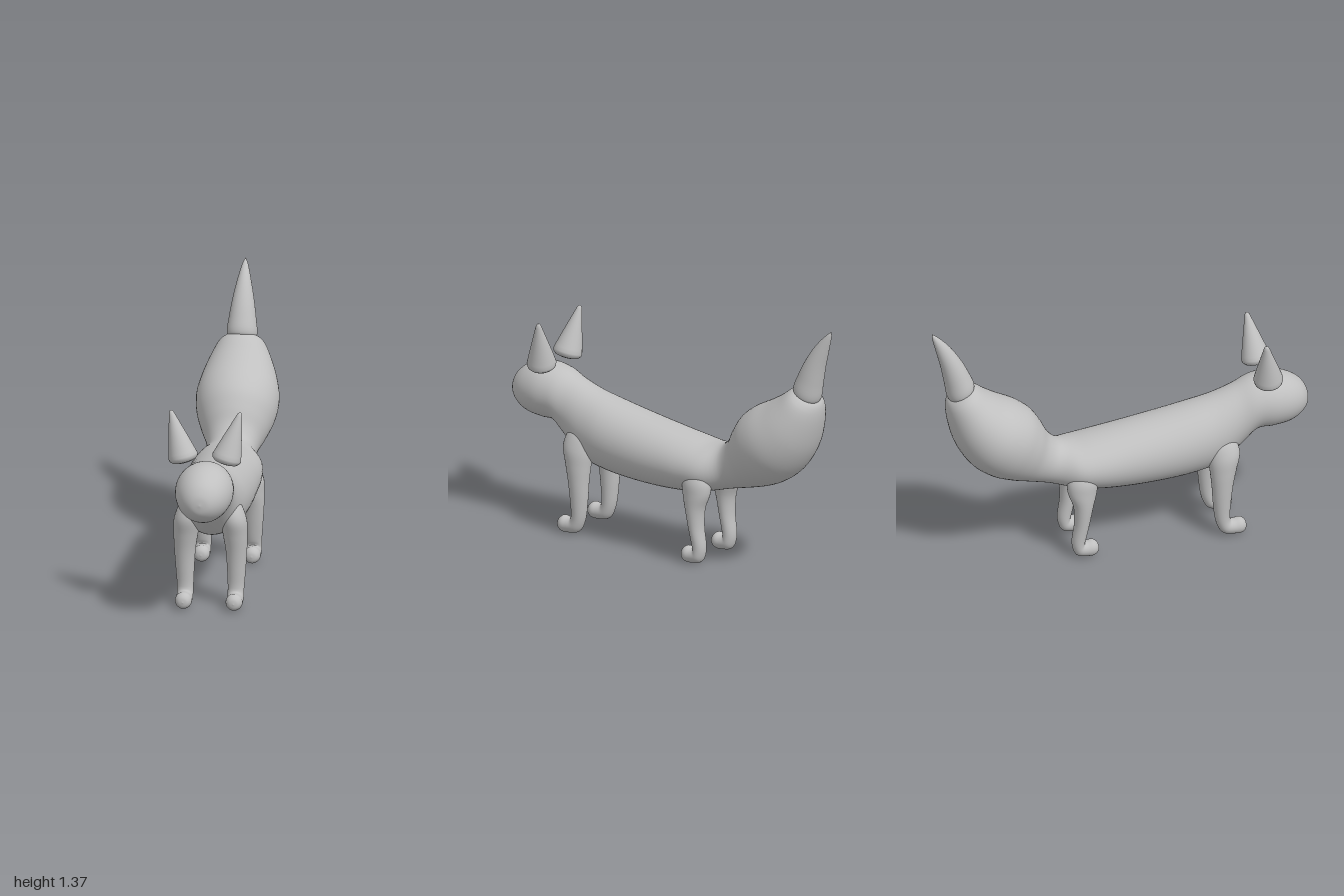
import * as THREE from 'three';

const fur = new THREE.MeshStandardMaterial({ color: 0xc0c0c0 });
fur.name = 'plain grey';

// Smooth loft. Each ring: [z, y of upper/front edge, z, y of lower/back edge, half width, centre x]
function loft(name, rings, sides = 36, steps = 5) {
  const edgeA = new THREE.CatmullRomCurve3(rings.map(r => new THREE.Vector3(r[4], r[1], r[0])));
  const edgeB = new THREE.CatmullRomCurve3(rings.map(r => new THREE.Vector3(r[5] || 0, r[3], r[2])));
  const rows = (rings.length - 1) * steps;
  const pos = [], index = [];
  for (let i = 0; i <= rows; i++) {
    const a = edgeA.getPoint(i / rows), b = edgeB.getPoint(i / rows);
    for (let j = 0; j < sides; j++) {
      const t = j / sides * Math.PI * 2, k = (1 + Math.cos(t)) / 2;
      pos.push(b.x + Math.max(a.x, 0) * Math.sin(t), b.y + (a.y - b.y) * k, b.z + (a.z - b.z) * k);
      if (i === rows) continue;
      const p = i * sides + j, q = i * sides + (j + 1) % sides;
      index.push(p, q, p + sides, q, q + sides, p + sides);
    }
  }
  const geo = new THREE.BufferGeometry();
  geo.setAttribute('position', new THREE.Float32BufferAttribute(pos, 3));
  geo.setIndex(index);
  geo.computeVertexNormals();
  const mesh = new THREE.Mesh(geo, fur);
  mesh.name = name;
  return mesh;
}

// Head, trunk and bushy tail in one skin, from nose to tail end
const bodyRings = [
  [1.0, 0.685, 1.0, 0.685, 0],
  [0.99, 0.735, 0.99, 0.635, 0.05],
  [0.955, 0.785, 0.955, 0.595, 0.094],
  [0.89, 0.825, 0.89, 0.562, 0.13],
  [0.8, 0.846, 0.8, 0.55, 0.148],
  [0.7, 0.832, 0.715, 0.546, 0.142],
  [0.61, 0.795, 0.64, 0.475, 0.138],
  [0.5, 0.756, 0.52, 0.38, 0.158],
  [0.38, 0.727, 0.38, 0.348, 0.178],
  [0.2, 0.693, 0.2, 0.334, 0.186],
  [0, 0.661, 0, 0.335, 0.187],
  [-0.15, 0.638, -0.15, 0.35, 0.187],
  [-0.25, 0.627, -0.26, 0.372, 0.175],
  [-0.33, 0.642, -0.39, 0.408, 0.126],
  [-0.38, 0.69, -0.5, 0.436, 0.137],
  [-0.42, 0.765, -0.6, 0.465, 0.172],
  [-0.47, 0.838, -0.7, 0.508, 0.203],
  [-0.54, 0.892, -0.79, 0.578, 0.213],
  [-0.63, 0.94, -0.865, 0.69, 0.192],
  [-0.7, 0.984, -0.905, 0.81, 0.158],
  [-0.765, 1.03, -0.92, 0.92, 0.115],
  [-0.81, 1.038, -0.91, 0.968, 0.07],
  [-0.865, 1.005, -0.865, 1.005, 0],
];

// Curved pointed tip of the tail
const tailTipRings = [
  [-0.845, 1.0, -0.845, 1.0, 0],
  [-0.785, 1.022, -0.9, 0.972, 0.066],
  [-0.775, 1.047, -0.914, 0.988, 0.078],
  [-0.805, 1.125, -0.93, 1.07, 0.07],
  [-0.85, 1.21, -0.95, 1.17, 0.055],
  [-0.91, 1.295, -0.976, 1.27, 0.034],
  [-0.975, 1.36, -0.996, 1.35, 0.012],
  [-0.997, 1.376, -0.997, 1.376, 0],
];

// Legs run from the toe up into the trunk
const foot = z => [
  [z, 0.045, z, 0.045, 0, 0.13],
  [z - 0.008, 0.072, z - 0.008, 0.018, 0.026, 0.13],
  [z - 0.032, 0.09, z - 0.032, 0.004, 0.042, 0.13],
  [z - 0.065, 0.086, z - 0.065, 0.004, 0.042, 0.13],
];
const frontLegRings = [...foot(0.637),
  [0.555, 0.088, 0.51, 0.018, 0.042, 0.13],
  [0.549, 0.105, 0.478, 0.075, 0.042, 0.13],
  [0.554, 0.2, 0.461, 0.19, 0.048, 0.132],
  [0.566, 0.3, 0.454, 0.3, 0.055, 0.132],
  [0.585, 0.39, 0.447, 0.375, 0.063, 0.127],
  [0.605, 0.48, 0.44, 0.46, 0.068, 0.118],
  [0.58, 0.56, 0.45, 0.55, 0.05, 0.1],
  [0.52, 0.6, 0.52, 0.6, 0, 0.09],
];
const hindLegRings = [...foot(-0.148),
  [-0.225, 0.088, -0.268, 0.018, 0.042, 0.13],
  [-0.217, 0.11, -0.29, 0.08, 0.042, 0.13],
  [-0.198, 0.2, -0.277, 0.2, 0.048, 0.132],
  [-0.178, 0.3, -0.282, 0.3, 0.055, 0.132],
  [-0.158, 0.375, -0.31, 0.385, 0.063, 0.125],
  [-0.15, 0.45, -0.31, 0.45, 0.066, 0.117],
  [-0.17, 0.51, -0.28, 0.51, 0.05, 0.1],
  [-0.22, 0.54, -0.22, 0.54, 0, 0.09],
];

// Cone ear with a softly rounded base and tip
const earProfile = [[0, 0], [0.035, 0.002], [0.06, 0.009], [0.073, 0.021], [0.076, 0.035], [0.071, 0.055],
  [0.058, 0.105], [0.036, 0.185], [0.016, 0.257], [0.012, 0.27], [0.006, 0.278], [0, 0.28]]
  .map(p => new THREE.Vector2(...p));

export function createModel() {
  const model = new THREE.Group();
  model.name = 'fox';
  model.add(loft('body', bodyRings, 48), loft('tailTip', tailTipRings));

  for (const [side, s] of [['left', 1], ['right', -1]]) {
    const place = rings => rings.map(r => [...r.slice(0, 5), r[5] * s]);
    model.add(loft(side + 'FrontLeg', place(frontLegRings), 28), loft(side + 'HindLeg', place(hindLegRings), 28));

    const ear = new THREE.Mesh(new THREE.LatheGeometry(earProfile, 32), fur);
    ear.name = side + 'Ear';
    ear.position.set(0.103 * s, 0.842, 0.764);
    const axis = new THREE.Vector3(0.077 * s, 0.27, -0.033).normalize();
    ear.quaternion.setFromUnitVectors(new THREE.Vector3(0, 1, 0), axis);
    model.add(ear);
  }
  return model;
}
